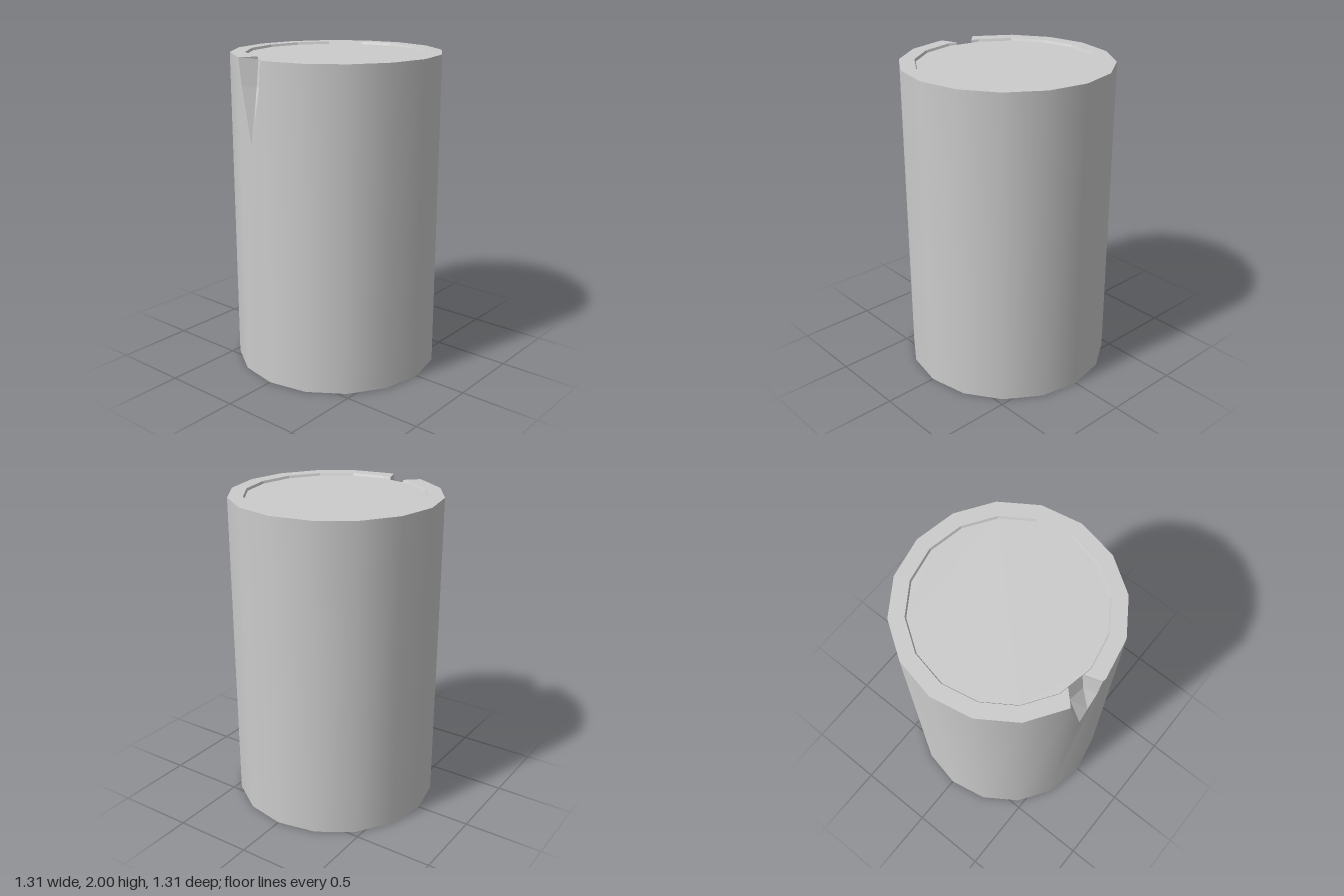
import * as THREE from 'three';

const R = 0.655, RIN = 0.562, RDISC = 0.555, H = 2, DEPTH = 0.015, N = 16;

const material = new THREE.MeshStandardMaterial({ color: 0xcccccc, side: THREE.DoubleSide });

// Corner i of the sixteen-sided outline, counted from the front towards +x
function corner(i, r, y) {
  const a = (i / N) * Math.PI * 2;
  return new THREE.Vector3(Math.sin(a) * r, y, Math.cos(a) * r);
}

// Point at x on the front facet just left of centre (x < 0)
function onFacet(x, y, r = R) {
  const b = corner(-1, r, y);
  return new THREE.Vector3(x, y, r + (b.z - r) * (x / b.x));
}

// Flat-shaded band between two polylines of equal length
function strip(a, b) {
  const pts = [];
  for (let i = 0; i < a.length - 1; i++) {
    pts.push(a[i], b[i], a[i + 1], b[i], b[i + 1], a[i + 1]);
  }
  const g = new THREE.BufferGeometry().setFromPoints(pts);
  g.computeVertexNormals();
  return g;
}

// Horizontal polygon facing up or down
function flat(points, y, up, hole) {
  const s = up ? -1 : 1;
  const to2 = (p) => new THREE.Vector2(p.x, s * p.z);
  const shape = new THREE.Shape(points.map(to2));
  if (hole) shape.holes.push(new THREE.Path(hole.map(to2)));
  return new THREE.ShapeGeometry(shape).rotateX(s * Math.PI / 2).translate(0, y, 0);
}

export function createModel() {
  const model = new THREE.Group();
  const add = (name, geometry) => {
    const mesh = new THREE.Mesh(geometry, material);
    mesh.name = name;
    model.add(mesh);
  };
  const low = H - DEPTH;
  const ring = (r, y) => Array.from({ length: N }, (_, i) => corner(i, r, y));

  // Notch outline on the outer facet
  const apex = onFacet(-0.13, 1.49);
  const join = onFacet(-0.088, 1.65);
  const outL = [onFacet(-0.24, H), onFacet(-0.238, low), onFacet(-0.215, 1.84), apex];
  const outR = [onFacet(-0.02, H), onFacet(-0.022, low), onFacet(-0.04, 1.83), join];
  // Notch edges at its back
  const inL = [onFacet(-0.162, H, RIN), onFacet(-0.16, low, RDISC),
    new THREE.Vector3(-0.155, 1.82, 0.55), apex];
  const inR = [onFacet(-0.055, H, RIN), onFacet(-0.055, low, RDISC),
    new THREE.Vector3(-0.065, 1.85, 0.57), join];

  // Bark: fifteen smooth-shaded facets
  add('bark', new THREE.CylinderGeometry(R, R, H, N - 1, 1, true, 0, Math.PI * 2 * (N - 1) / N)
    .translate(0, H / 2, 0));

  // Sixteenth facet, with the notch cut out of its top edge
  const outline = [corner(-1, R, 0), corner(0, R, 0), corner(0, R, H), ...outR, apex,
    outL[2], outL[1], outL[0], corner(-1, R, H)];
  const facet = new THREE.ShapeGeometry(
    new THREE.Shape(outline.map((p) => new THREE.Vector2(p.x, p.y))));
  const pos = facet.attributes.position, nor = facet.attributes.normal;
  for (let i = 0; i < pos.count; i++) {
    const p = onFacet(pos.getX(i), pos.getY(i));
    pos.setZ(i, p.z);
    const n = new THREE.Vector3(p.x, 0, p.z).normalize();
    nor.setXYZ(i, n.x, n.y, n.z);
  }
  add('notchedBark', facet);

  // Notch faces
  add('notchLeftWall', strip(inL, outL));
  add('notchRightWall', strip(outR, inR));
  add('notchBack', strip([inR[1], inR[2], join, apex], [inL[1], inL[2], apex, apex]));

  // Top rim, broken by the notch
  const innerTop = [inL[0], ...ring(RIN, H).reverse(), inR[0]];
  const innerLow = [inL[1], ...ring(RDISC, low).reverse(), inR[1]];
  add('topRim', flat([outR[0], ...ring(R, H), outL[0], ...innerTop], H, true));
  add('topRecessWall', strip(innerTop, innerLow));
  add('topDisc', flat(ring(RDISC, low), low, true));

  // Bottom rim and recessed disc
  const close = (list) => [...list, list[0]];
  add('bottomRim', flat(ring(R, 0), 0, false, ring(RIN, 0)));
  add('bottomRecessWall', strip(close(ring(RDISC, DEPTH).reverse()), close(ring(RIN, 0).reverse())));
  add('bottomDisc', flat(ring(RDISC, DEPTH), DEPTH, false));

  return model;
}
